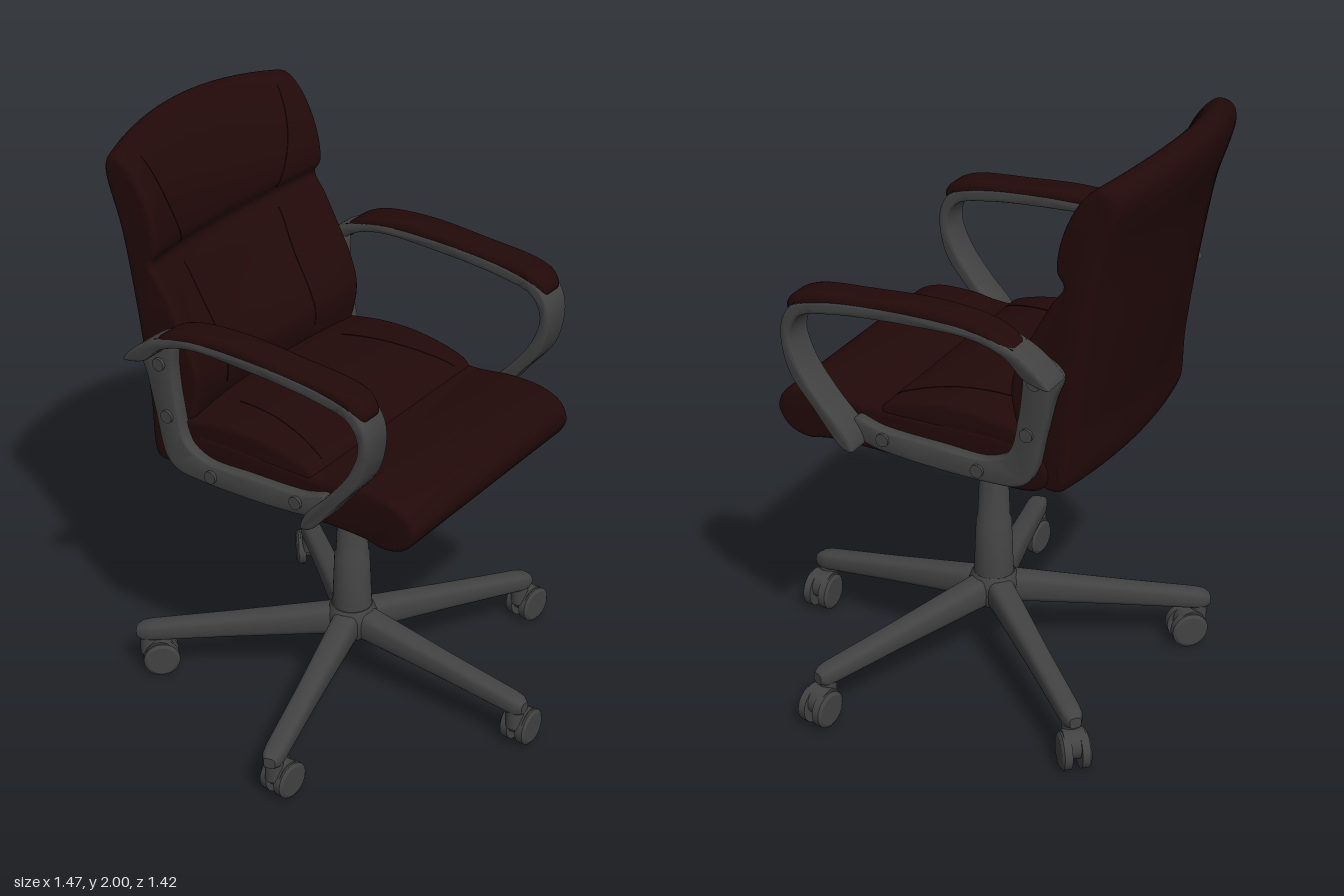
import * as THREE from 'three';
import { toCreasedNormals } from 'three/addons/utils/BufferGeometryUtils.js';

const leather = new THREE.MeshStandardMaterial({ color: 0x220909 });
leather.name = 'dark maroon leather';
const plastic = new THREE.MeshStandardMaterial({ color: 0x424242 });
plastic.name = 'charcoal plastic';
const stitch = new THREE.MeshStandardMaterial({ color: 0x190707 });
stitch.name = 'dark seam';

const CX = 0.011; // centre line of the chair

function add(parent, name, geometry, material, pos = [0, 0, 0]) {
  const m = new THREE.Mesh(geometry, material);
  m.name = name;
  m.position.set(...pos);
  parent.add(m);
  return m;
}

// Skin a row of cross-sections set along x; each ring runs from +y towards +z.
function loft(rings) {
  const n = rings[0].length, last = (rings.length - 1) * n;
  const pos = [], idx = [];
  rings.forEach(r => r.forEach(p => pos.push(p.x, p.y, p.z)));
  for (let i = 0; i < rings.length - 1; i++) {
    for (let j = 0; j < n; j++) {
      const a = i * n + j, b = i * n + (j + 1) % n;
      idx.push(a, b, b + n, a, b + n, a + n);
    }
  }
  const flat = r => r.map(p => new THREE.Vector2(p.y, p.z));
  for (const [a, b, c] of THREE.ShapeUtils.triangulateShape(flat(rings[0]), [])) idx.push(a, c, b);
  for (const [a, b, c] of THREE.ShapeUtils.triangulateShape(flat(rings[rings.length - 1]), [])) {
    idx.push(last + a, last + b, last + c);
  }
  const g = new THREE.BufferGeometry();
  g.setAttribute('position', new THREE.Float32BufferAttribute(pos, 3));
  g.setIndex(idx);
  return toCreasedNormals(g, 0.7);
}

// Spread a closed smooth (z, y) profile from x0 to x1 with edges rounded by r.
function slab(profile, x0, x1, r, { warp = p => p, steps = 1, samples = 80 } = {}) {
  const curve = new THREE.CatmullRomCurve3(profile.map(([z, y]) => new THREE.Vector3(0, y, z)), true);
  let pts = curve.getPoints(samples).slice(0, -1);
  if (THREE.ShapeUtils.area(pts.map(p => new THREE.Vector2(p.y, p.z))) < 0) pts = pts.reverse();
  const n = pts.length;
  const inward = pts.map((p, i) => {
    const t = pts[(i + 1) % n].clone().sub(pts[(i + n - 1) % n]).normalize();
    return new THREE.Vector3(0, -t.z, t.y);
  });
  const left = [0, 1, 2, 3, 4].map(k => {
    const t = k / 4 * Math.PI / 2;
    return [x0 + r * (1 - Math.cos(t)), r * (1 - Math.sin(t))];
  });
  const stations = [...left];
  for (let k = 1; k < steps; k++) stations.push([x0 + r + (x1 - x0 - 2 * r) * k / steps, 0]);
  left.reverse().forEach(([x, inset]) => stations.push([x0 + x1 - x, inset]));
  return loft(stations.map(([x, inset]) => pts.map((p, i) => {
    const q = p.clone().addScaledVector(inward[i], inset);
    q.x = x;
    return warp(q);
  })));
}

// Thin seam laid on a cushion by dropping its path onto the surface.
function seam(parent, mesh, path, fromTop) {
  const ray = new THREE.Raycaster();
  const dir = fromTop ? new THREE.Vector3(0, -1, 0) : new THREE.Vector3(0, 0, -1);
  const line = new THREE.CatmullRomCurve3(path.map(([a, b]) => new THREE.Vector3(a, b, 0)));
  const pts = [];
  for (const p of line.getPoints(24)) {
    ray.set(fromTop ? new THREE.Vector3(p.x, 3, p.y) : new THREE.Vector3(p.x, p.y, 3), dir);
    const hit = ray.intersectObject(mesh)[0];
    if (hit) pts.push(hit.point);
  }
  if (pts.length > 2) add(parent, 'seam', new THREE.TubeGeometry(new THREE.CatmullRomCurve3(pts), 40, 0.002, 5), stitch);
}

// Cylinder running between two points.
function rod(parent, name, a, b, ra, rb = ra) {
  const A = new THREE.Vector3(...a), d = new THREE.Vector3(...b).sub(A);
  const m = add(parent, name, new THREE.CylinderGeometry(rb, ra, d.length(), 24), plastic);
  m.position.copy(A).addScaledVector(d, 0.5);
  m.quaternion.setFromUnitVectors(new THREE.Vector3(0, 1, 0), d.normalize());
}

function buildSeat(root) {
  const g = new THREE.Group();
  g.name = 'seat';
  root.add(g);
  add(g, 'seatBase', slab([[0.55, 1.0], [0.525, 1.06], [0.45, 1.095], [0.33, 1.1], [0.2, 1.085], [0, 1.085],
    [-0.3, 1.08], [-0.4, 1.04], [-0.42, 0.97], [-0.38, 0.925], [-0.1, 0.92], [0.36, 0.925], [0.44, 0.912],
    [0.51, 0.935]], CX - 0.45, CX + 0.45, 0.02), leather);
  const cushion = add(g, 'seatCushion', slab([[0.17, 1.07], [0.155, 1.1], [0.08, 1.13], [-0.08, 1.153], [-0.25, 1.14],
    [-0.38, 1.1], [-0.36, 1.04], [0.1, 1.04]], CX - 0.447, CX + 0.447, 0.02), leather);
  for (const s of [-1, 1]) seam(g, cushion, [[CX + s * 0.37, 0.15], [CX + s * 0.32, -0.03], [CX + s * 0.28, -0.24]], true);
}

function buildBack(root) {
  const g = new THREE.Group();
  g.name = 'backrest';
  root.add(g);
  // the middle sits further back, and the top edge and headrest crease bow
  const warp = p => {
    const u = 1 - ((p.x - CX) / 0.44) ** 2;
    const k = THREE.MathUtils.clamp((p.y - 1.1) / 0.4, 0, 1);
    p.z -= u * (0.045 + 0.035 * (p.y - 0.93));
    p.y += u * k * (p.y - 1.78) * 0.24;
    return p;
  };
  const back = add(g, 'backCushion', slab([[-0.57, 1.959], [-0.52, 1.925], [-0.47, 1.85], [-0.435, 1.75], [-0.43, 1.67],
    [-0.452, 1.628], [-0.415, 1.57], [-0.36, 1.47], [-0.305, 1.36], [-0.28, 1.26], [-0.305, 1.12], [-0.36, 1.0],
    [-0.39, 0.94], [-0.44, 0.93], [-0.468, 0.95], [-0.485, 1.15], [-0.525, 1.45], [-0.575, 1.72], [-0.628, 1.9],
    [-0.615, 1.945]], CX - 0.438, CX + 0.438, 0.022, { warp, steps: 16, samples: 120 }), leather);
  for (const s of [-1, 1]) {
    seam(g, back, [[CX + s * 0.35, 1.94], [CX + s * 0.31, 1.78], [CX + s * 0.25, 1.63]], false);
    seam(g, back, [[CX + s * 0.25, 1.56], [CX + s * 0.235, 1.38], [CX + s * 0.24, 1.17]], false);
  }
}

function buildArm(root, s) {
  const g = new THREE.Group();
  g.name = s > 0 ? 'leftArm' : 'rightArm';
  root.add(g);
  const span = (a, b) => (s > 0 ? [CX + a, CX + b] : [CX - b, CX - a]);
  // wide band sweeping over the top and down the front
  add(g, 'armBand', slab([[-0.48, 1.345], [-0.42, 1.41], [-0.34, 1.455], [-0.24, 1.485], [0, 1.495], [0.3, 1.47], [0.41, 1.435],
    [0.452, 1.36], [0.43, 1.21], [0.34, 1.09], [0.24, 0.975], [0.205, 0.97], [0.22, 1.02], [0.31, 1.12], [0.39, 1.23],
    [0.42, 1.33], [0.385, 1.4], [0.28, 1.43], [0, 1.455], [-0.22, 1.455], [-0.33, 1.42], [-0.4, 1.36]],
  ...span(0.45, 0.566), 0.01, { samples: 132 }), plastic);
  // flat bracket fixed to the seat and back
  add(g, 'armBracket', slab([[0.24, 1.05], [0.15, 1.03], [-0.06, 1.02], [-0.235, 1.02], [-0.305, 1.065], [-0.335, 1.18], [-0.35, 1.3],
    [-0.355, 1.41], [-0.41, 1.4], [-0.475, 1.35], [-0.45, 1.26], [-0.42, 1.13], [-0.385, 0.99], [-0.34, 0.95],
    [-0.27, 0.94], [-0.02, 0.942], [0.19, 0.965], [0.235, 0.99]], ...span(0.435, 0.487), 0.01, { samples: 108 }), plastic);
  for (const [z, y] of [[0.135, 1.0], [-0.2, 0.975], [-0.37, 1.14], [-0.395, 1.32]]) {
    rod(g, 'armBolt', [CX + s * 0.48, y, z], [CX + s * 0.497, y, z], 0.022);
  }
  // pad narrows at both ends
  const middle = CX + s * 0.508;
  const warp = p => {
    const end = Math.min(0.44 - p.z, p.z + 0.365);
    p.x = middle + (p.x - middle) * THREE.MathUtils.clamp(0.75 + end * 6, 0.75, 1);
    return p;
  };
  add(g, 'armPad', slab([[0.44, 1.42], [0.425, 1.455], [0.36, 1.488], [0.15, 1.51], [-0.07, 1.523], [-0.25, 1.505], [-0.33, 1.47],
    [-0.365, 1.43], [-0.33, 1.43], [-0.22, 1.465], [0, 1.47], [0.28, 1.45], [0.38, 1.42], [0.42, 1.4]],
  ...span(0.452, 0.564), 0.024, { warp, samples: 112 }), leather);
}

function buildCaster(root, x, z, turn) {
  const g = new THREE.Group();
  g.name = 'caster';
  g.position.set(x, 0, z);
  g.rotation.y = -turn;
  root.add(g);
  rod(g, 'casterStem', [0, 0.08, 0], [0, 0.16, 0], 0.03);
  rod(g, 'casterHood', [0.034, 0.085, -0.036], [0.034, 0.085, 0.036], 0.05);
  for (const s of [-1, 1]) {
    rod(g, 'casterWheel', [0.04, 0.066, s * 0.016], [0.04, 0.066, s * 0.042], 0.063);
    rod(g, 'wheelCap', [0.04, 0.066, s * 0.042], [0.04, 0.066, s * 0.049], 0.063, 0.052);
  }
}

function buildBase(root) {
  const g = new THREE.Group();
  g.name = 'starBase';
  g.position.x = 0.01;
  root.add(g);
  const hub = [[0, 0.195], [0.065, 0.195], [0.085, 0.22], [0.085, 0.285], [0.07, 0.312], [0, 0.312]];
  add(g, 'hub', toCreasedNormals(new THREE.LatheGeometry(hub.map(p => new THREE.Vector2(...p)), 32), 0.7), plastic);
  // leg stations: distance, bottom, top, half width
  const leg = loft([[0.02, 0.2, 0.31, 0.05], [0.09, 0.195, 0.298, 0.046], [0.4, 0.165, 0.246, 0.038], [0.66, 0.138, 0.204, 0.036],
    [0.69, 0.138, 0.197, 0.032], [0.71, 0.145, 0.183, 0.02]].map(([x, lo, hi, w]) => Array.from({ length: 20 }, (_, i) => {
    const a = i / 20 * Math.PI * 2, f = v => Math.sign(v) * Math.abs(v) ** 0.6;
    return new THREE.Vector3(x, (lo + hi) / 2 + f(Math.cos(a)) * (hi - lo) / 2, f(Math.sin(a)) * w);
  })));
  // leg angle, distance of its caster, and the caster's own turn
  for (const [angle, reach, turn] of [[90, 0.66, 0], [165, 0.71, 0.1], [238, 0.7, 0.8], [312, 0.71, -0.7], [24, 0.69, 0.15]]) {
    const a = angle * Math.PI / 180;
    const m = add(g, 'leg', leg, plastic);
    m.rotation.y = -a;
    m.scale.x = reach / 0.672;
    buildCaster(g, Math.cos(a) * reach, Math.sin(a) * reach, turn);
  }
}

function buildColumn(root) {
  const g = new THREE.Group();
  g.name = 'columnAndMechanism';
  root.add(g);
  const x = 0.012;
  const profile = [[0.068, 0.3], [0.06, 0.51], [0.055, 0.52], [0.044, 0.8], [0.034, 0.802], [0.034, 0.9]];
  add(g, 'column', toCreasedNormals(new THREE.LatheGeometry(profile.map(p => new THREE.Vector2(...p)), 32), 0.5), plastic, [x, 0, 0]);
  add(g, 'mountingPlate', new THREE.BoxGeometry(0.245, 0.025, 0.32), plastic, [CX, 0.91, -0.02]);
  add(g, 'tiltHousing', new THREE.BoxGeometry(0.11, 0.035, 0.15), plastic, [CX, 0.885, 0]);
  rod(g, 'tensionShaft', [x, 0.91, 0.09], [x, 0.8, 0.145], 0.034);
  rod(g, 'tensionKnob', [x, 0.825, 0.135], [x, 0.727, 0.184], 0.046, 0.05);
  // height lever with a flat paddle
  rod(g, 'leverRod', [-0.08, 0.885, -0.08], [-0.24, 0.862, -0.18], 0.008);
  const paddle = add(g, 'leverPaddle', new THREE.SphereGeometry(1, 20, 12), plastic, [-0.253, 0.85, -0.195]);
  paddle.scale.set(0.034, 0.017, 0.03);
}

export function createModel() {
  const root = new THREE.Group();
  root.name = 'officeChair';
  buildSeat(root);
  buildBack(root);
  for (const s of [-1, 1]) buildArm(root, s);
  buildColumn(root);
  buildBase(root);
  return root;
}
